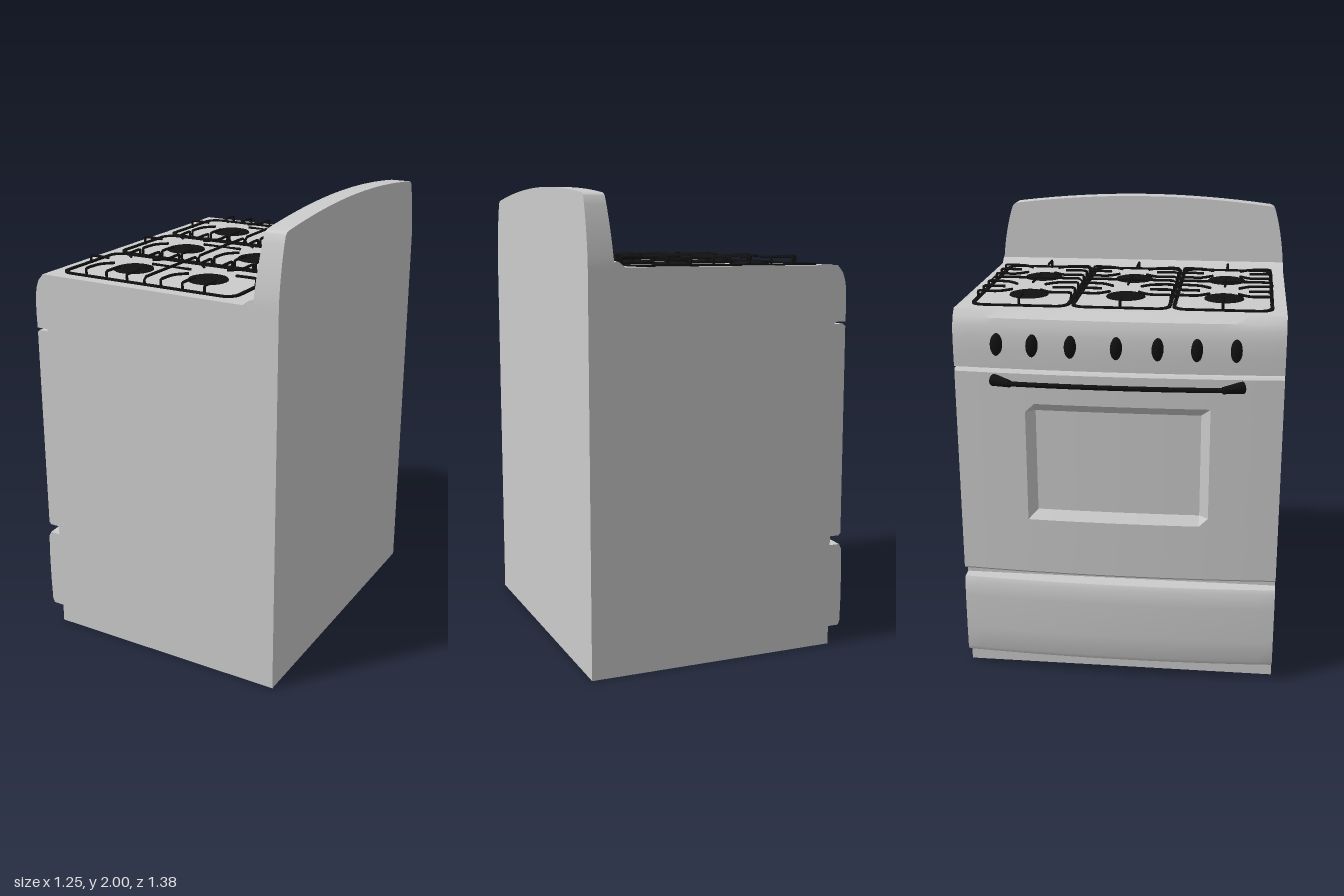
import * as THREE from 'three';
import { toCreasedNormals } from 'three/addons/utils/BufferGeometryUtils.js';

const W = 0.69; // half width of the range along z; its working front faces -x
const grey = new THREE.MeshStandardMaterial({ color: 0xcccccc, side: THREE.DoubleSide });
const black = new THREE.MeshStandardMaterial({ color: 0x111111, side: THREE.DoubleSide });

const bow = z => 0.025 * (1 - (z / W) ** 2);

function add(parent, name, geometry, material = grey) {
  const mesh = new THREE.Mesh(geometry, material);
  mesh.name = name;
  parent.add(mesh);
  return mesh;
}

// Moves each vertex by a rule, then rebuilds normals with sharp edges
function reshape(geometry, rule, crease = 0.5) {
  const p = geometry.attributes.position, v = new THREE.Vector3();
  for (let i = 0; i < p.count; i++) {
    rule(v.fromBufferAttribute(p, i));
    p.setXYZ(i, v.x, v.y, v.z);
  }
  return toCreasedNormals(geometry, crease);
}

// Extrudes an x-y profile from z0 to z1 and bows its front outward
function bowed(points, z0 = -W, z1 = W) {
  const shape = new THREE.Shape(points.map(p => new THREE.Vector2(...p)));
  const steps = Math.ceil((z1 - z0) / 0.07);
  const g = new THREE.ExtrudeGeometry(shape, { depth: z1 - z0, steps, bevelEnabled: false });
  return reshape(g, v => {
    v.z += z0;
    if (v.x < -0.5) v.x -= bow(v.z);
  });
}

function roundedRect(path, hx, hy, r) {
  path.moveTo(-hx + r, -hy);
  path.lineTo(hx - r, -hy).absarc(hx - r, -hy + r, r, -Math.PI / 2, 0);
  path.lineTo(hx, hy - r).absarc(hx - r, hy - r, r, 0, Math.PI / 2);
  path.lineTo(-hx + r, hy).absarc(-hx + r, hy - r, r, Math.PI / 2, Math.PI);
  path.lineTo(-hx, -hy + r).absarc(-hx + r, -hy + r, r, Math.PI, Math.PI * 1.5);
  return path;
}

function rod(points, radius, segments = 20, tension = 0.15) {
  const curve = new THREE.CatmullRomCurve3(points.map(p => new THREE.Vector3(...p)), false, 'catmullrom', tension);
  return new THREE.TubeGeometry(curve, segments, radius, 6);
}

function createDoor() {
  const door = new THREE.Group();
  door.name = 'ovenDoor';
  const f = -0.533, y0 = 0.75, y1 = 1.28, hz = 0.39;
  // Frame: rails above and below the window, stiles at each side
  add(door, 'lowerRail', bowed([[-0.475, 0.49], [f + 0.01, 0.49], [f, 0.5], [f, y0], [-0.475, y0]]));
  add(door, 'upperRail', bowed([[-0.475, y1], [f, y1], [f, 1.41], [f + 0.01, 1.42], [-0.475, 1.42]]));
  const stile = [[-0.475, y0], [f, y0], [f, y1], [-0.475, y1]];
  add(door, 'rightStile', bowed(stile, -W, -hz));
  add(door, 'leftStile', bowed(stile, hz, W));
  // Window: its outer ring of cells slopes in to a recessed pane
  const pane = new THREE.PlaneGeometry(hz * 2, y1 - y0, 20, 14);
  pane.rotateY(-Math.PI / 2).translate(0, (y0 + y1) / 2, 0);
  add(door, 'window', reshape(pane, v => {
    const edge = Math.min(hz - Math.abs(v.z), v.y - y0, y1 - v.y);
    v.x = f - bow(v.z) + 0.035 * Math.min(1, Math.max(0, edge / 0.037));
  }));
  return door;
}

function createHandle() {
  const handle = new THREE.Group();
  handle.name = 'doorHandle';
  const points = [];
  for (let i = -4; i <= 4; i++) points.push([-0.615 + 0.017 * (i / 4) ** 2, 1.38, i * 0.113]);
  add(handle, 'handleBar', rod(points, 0.011, 32, 0.5), black).scale.set(1, 1, 1);
  // Tapered brackets slanting back to the door
  for (const s of [-1, 1]) {
    const a = new THREE.Vector3(-0.6, 1.38, s * 0.44), b = new THREE.Vector3(-0.55, 1.38, s * 0.52);
    const bracket = add(handle, 'handleBracket', new THREE.CylinderGeometry(0.026, 0.015, a.distanceTo(b), 12), black);
    bracket.position.copy(a).lerp(b, 0.5);
    bracket.quaternion.setFromUnitVectors(new THREE.Vector3(0, 1, 0), b.clone().sub(a).normalize());
  }
  return handle;
}

function createGrate(cz) {
  const grate = new THREE.Group();
  grate.name = 'grate';
  const top = 1.704, foot = 1.67, r = 0.006, hz = 0.2;
  // Flat outer frame
  const ring = roundedRect(new THREE.Shape(), 0.422, 0.211, 0.06);
  ring.holes.push(roundedRect(new THREE.Path(), 0.407, 0.196, 0.047));
  const frame = new THREE.ExtrudeGeometry(ring, { depth: 0.01, bevelEnabled: false, curveSegments: 6 });
  frame.rotateX(-Math.PI / 2).translate(-0.02, 1.668, 0);
  add(grate, 'grateFrame', frame, black);
  // Straight bars
  add(grate, 'crossBar', rod([[-0.015, foot, -hz], [-0.015, top, -hz], [-0.015, top, hz], [-0.015, foot, hz]], r), black);
  add(grate, 'middleBar', rod([[-0.11, top, 0], [0.08, top, 0]], r, 1), black);
  add(grate, 'frontFinger', rod([[-0.428, foot, 0], [-0.428, top, 0], [-0.335, top, 0]], r), black);
  add(grate, 'rearFinger', rod([[0.386, foot, 0], [0.386, top, 0], [0.295, top, 0]], r), black);
  for (const bx of [-0.205, 0.163]) {
    // Burner: a low base with a domed cap
    const profile = [[0, 0.016], [0.05, 0.015], [0.066, 0.012], [0.068, 0.008], [0.084, 0.007], [0.087, 0]];
    const burner = new THREE.LatheGeometry(profile.map(p => new THREE.Vector2(...p)).reverse(), 28);
    add(grate, 'burner', burner, black).position.set(bx, 1.668, 0);
    for (const s of [-1, 1]) {
      add(grate, 'shortFinger', rod([[bx, foot, s * hz], [bx, top, s * hz], [bx, top, s * 0.105]], r), black);
      for (const t of [-1, 1]) {
        const x = d => bx + t * d;
        add(grate, 'curvedFinger', rod([
          [x(0.102), foot, s * hz], [x(0.102), top, s * hz], [x(0.102), top, s * 0.13],
          [x(0.095), top, s * 0.105], [x(0.08), top, s * 0.086], [x(0.055), top, s * 0.062],
        ], r, 28, 0.25), black);
      }
    }
  }
  grate.position.z = cz;
  return grate;
}

function createBackguard() {
  // Arched outline drawn as (z, y), extruded through x with a sloping front
  const s = new THREE.Shape();
  s.moveTo(-W, 1.66);
  s.lineTo(-W, 1.69);
  s.quadraticCurveTo(-0.68, 1.83, -0.645, 1.94);
  s.quadraticCurveTo(-0.64, 1.955, -0.62, 1.96);
  s.quadraticCurveTo(-0.3, 2, 0, 2);
  s.quadraticCurveTo(0.3, 2, 0.62, 1.96);
  s.quadraticCurveTo(0.64, 1.955, 0.645, 1.94);
  s.quadraticCurveTo(0.68, 1.83, W, 1.69);
  s.lineTo(W, 1.66);
  const g = new THREE.ExtrudeGeometry(s, { depth: 1, bevelEnabled: false, curveSegments: 8 });
  g.rotateY(-Math.PI / 2);
  return reshape(g, v => {
    v.x = v.x > -0.5 ? 0.625 : 0.515 + 0.025 * (v.y - 1.67) / 0.33;
  });
}

export function createModel() {
  const range = new THREE.Group();
  range.name = 'kitchenRange';

  const body = add(range, 'body', new THREE.BoxGeometry(1.105, 1.67, W * 2));
  body.position.set(0.0725, 0.835, 0);

  add(range, 'drawer', bowed([[-0.475, 0.08], [-0.53, 0.08], [-0.538, 0.1], [-0.541, 0.2],
    [-0.541, 0.36], [-0.537, 0.43], [-0.527, 0.45], [-0.475, 0.45]]));
  range.add(createDoor());
  add(range, 'controlPanel', bowed([[-0.475, 1.43], [-0.533, 1.43], [-0.535, 1.5], [-0.533, 1.57],
    [-0.526, 1.61], [-0.515, 1.64], [-0.49, 1.67], [-0.475, 1.67]]));
  range.add(createHandle());

  // Narrow turning knobs along the control panel
  for (const z of [-0.5, -0.35, -0.19, 0, 0.17, 0.33, 0.49]) {
    const profile = [[0, 0], [0.036, 0], [0.046, 0.012], [0.046, 0.034], [0.036, 0.044], [0, 0.046]];
    const g = new THREE.LatheGeometry(profile.map(p => new THREE.Vector2(...p)), 20);
    g.rotateZ(Math.PI / 2).scale(1, 1, 0.52);
    add(range, 'knob', g, black).position.set(-0.527 - bow(z), 1.537, z);
  }

  for (const z of [-0.426, 0, 0.426]) range.add(createGrate(z));

  // Raised lip at the foot of the backguard
  add(range, 'backLip', bowed([[0.46, 1.665], [0.475, 1.674], [0.495, 1.69], [0.508, 1.695],
    [0.52, 1.688], [0.53, 1.665]]));
  add(range, 'backguard', createBackguard());
  return range;
}
